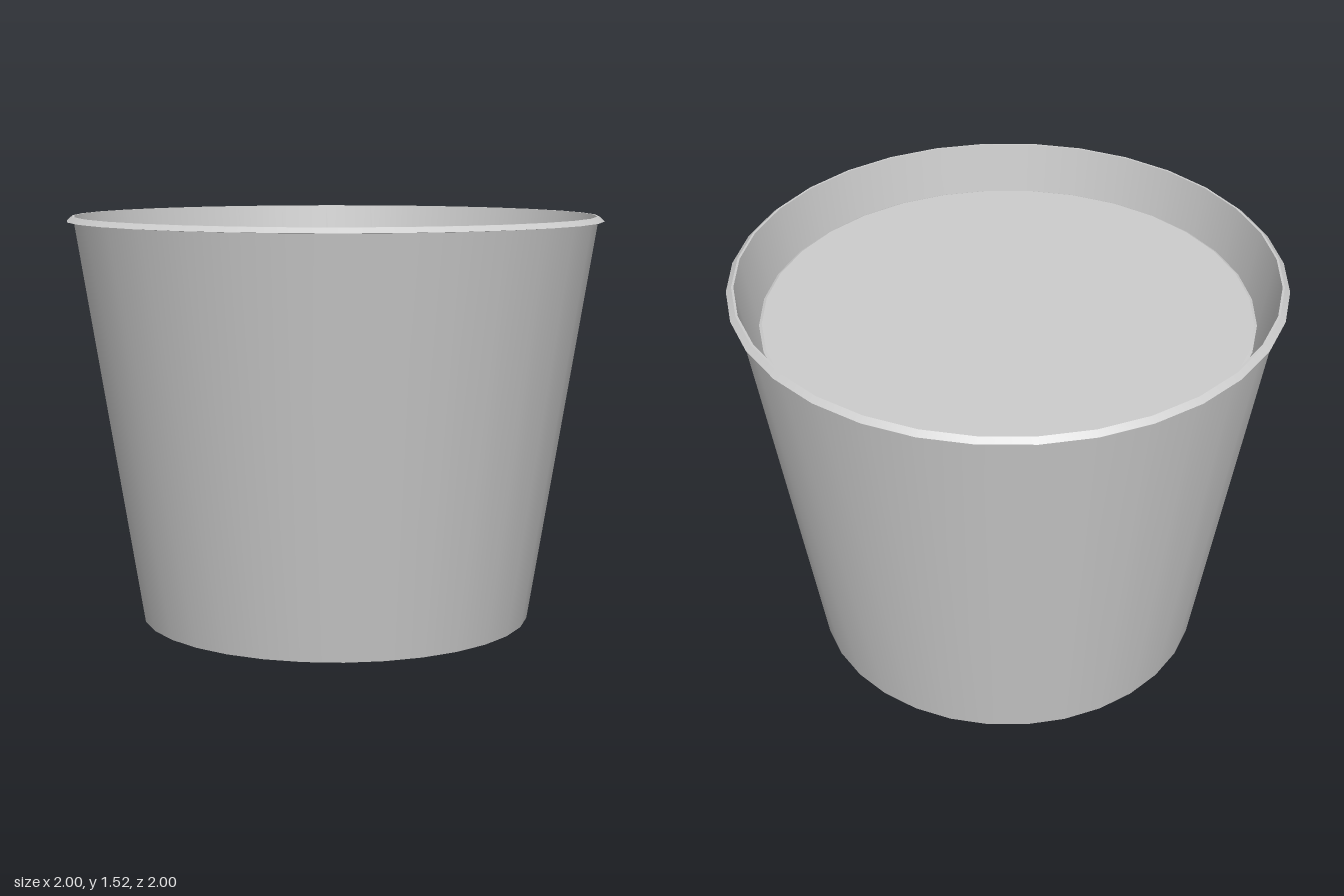
import * as THREE from 'three';

const SIDES = 32;

export function createModel() {
  const model = new THREE.Group();
  model.name = 'bucket';
  const grey = new THREE.MeshStandardMaterial({ color: 0xcccccc });
  grey.name = 'light grey';

  // Each strip is its own lathe, so edges between strips stay sharp
  function strips(name, profile) {
    const part = new THREE.Group();
    part.name = name;
    for (let i = 0; i < profile.length - 1; i++) {
      const pair = [profile[i], profile[i + 1]].map(([r, y]) => new THREE.Vector2(r, y));
      const mesh = new THREE.Mesh(new THREE.LatheGeometry(pair, SIDES), grey);
      mesh.name = `${name}Strip${i + 1}`;
      part.add(mesh);
    }
    model.add(part);
  }

  // Flat base and tapered outer wall
  strips('outerWall', [[0, 0], [0.735, 0], [0.975, 1.5]]);

  // Thin lip sloping down and outward
  strips('rim', [[0.975, 1.5], [1, 1.502], [0.98, 1.52], [0.972, 1.52]]);

  // Inner wall and inside floor
  strips('innerWall', [[0.972, 1.52], [0.73, 0.015], [0, 0.015]]);

  // Filling surface with a small bevelled edge
  strips('filling', [[0.88, 1.31], [0.895, 1.355], [0.885, 1.36], [0, 1.36]]);

  return model;
}
